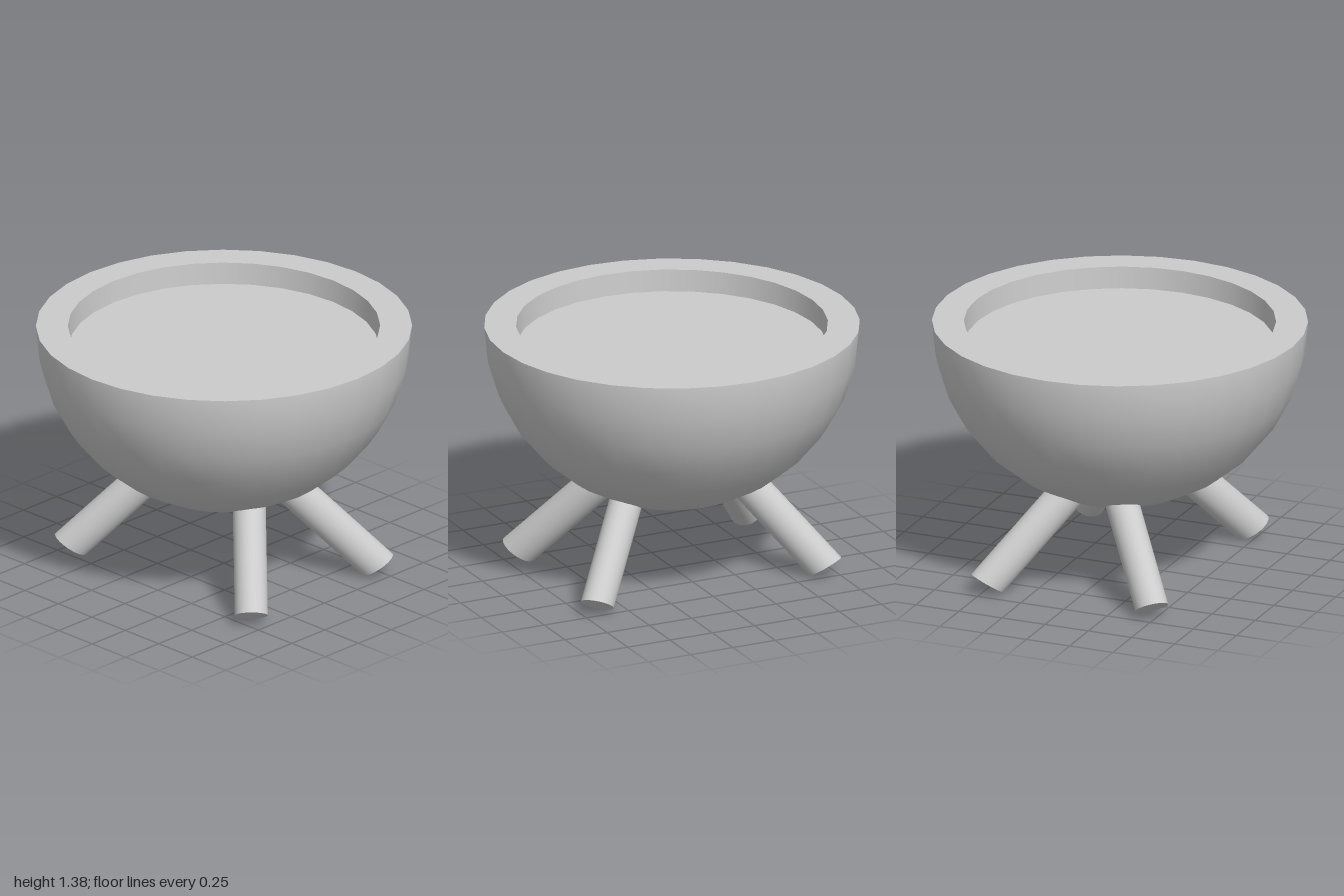
import * as THREE from 'three';

const SEGMENTS = 32;
const RIM_Y = 1.38;
const FLOOR_Y = 1.26;
const RIM_INNER = 0.83;
const FLOOR_RADIUS = 0.823;

export function createModel() {
  const model = new THREE.Group();
  model.name = 'bowlOnLegs';
  const material = new THREE.MeshStandardMaterial({ color: 0xcccccc });

  function add(parent, name, geometry) {
    const mesh = new THREE.Mesh(geometry, material);
    mesh.name = name;
    parent.add(mesh);
    return mesh;
  }

  // Bowl: half sphere with a flat rim and a shallow recess
  const bowl = new THREE.Group();
  bowl.name = 'bowl';
  model.add(bowl);

  const shell = new THREE.SphereGeometry(1, SEGMENTS, 8, 0, Math.PI * 2, Math.PI / 2, Math.PI / 2);
  shell.scale(1, 0.993, 1);
  add(bowl, 'shell', shell).position.y = RIM_Y;

  const rim = new THREE.RingGeometry(RIM_INNER, 1, SEGMENTS);
  rim.rotateX(-Math.PI / 2);
  add(bowl, 'rim', rim).position.y = RIM_Y;

  // Profile runs downwards so that the wall faces the axis
  const wall = new THREE.LatheGeometry(
    [new THREE.Vector2(RIM_INNER, RIM_Y), new THREE.Vector2(FLOOR_RADIUS, FLOOR_Y)], SEGMENTS);
  add(bowl, 'recessWall', wall);

  const floor = new THREE.CircleGeometry(FLOOR_RADIUS, SEGMENTS);
  floor.rotateX(-Math.PI / 2);
  add(bowl, 'recessFloor', floor).position.y = FLOOR_Y;

  // Legs: slanted oval rods with obliquely cut feet, one in each corner
  for (const sx of [1, -1]) {
    for (const sz of [1, -1]) {
      const foot = new THREE.Vector3(0.476 * sx, 0.054, 0.674 * sz);
      const top = new THREE.Vector3(0.072 * sx, 0.62, 0.255 * sz);
      const outward = new THREE.Vector3(sx, 0, sz).normalize();
      const across = new THREE.Vector3(0, 1, 0).cross(outward).multiplyScalar(0.088);
      const along = top.clone().sub(foot);
      const depth = outward.multiplyScalar(0.084).setY(0.054);

      const leg = new THREE.CylinderGeometry(1, 1, 1, SEGMENTS);
      leg.translate(0, 0.5, 0);
      leg.applyMatrix4(new THREE.Matrix4().makeBasis(across, along, depth).setPosition(foot));
      add(model, (sz > 0 ? 'front' : 'back') + (sx > 0 ? 'Left' : 'Right') + 'Leg', leg);
    }
  }

  return model;
}
